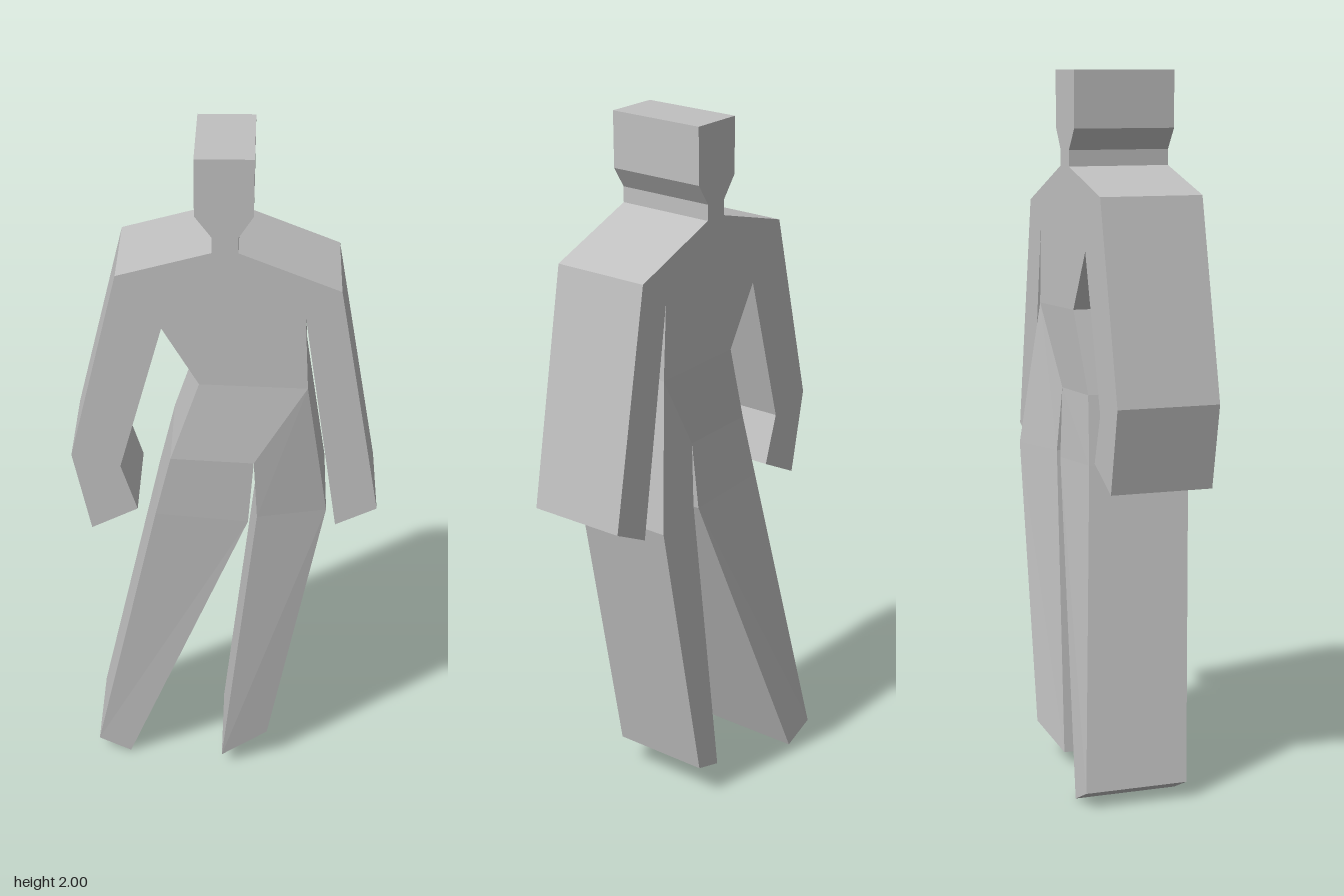
import * as THREE from 'three';

const FRONT = 0.175, BACK = -0.12;

// Outline corners: x, y and a shift in z for the striding legs
const P = {
  topL: [0.077, 2], topR: [-0.08, 2],
  jawL: [0.075, 1.84], jawR: [-0.08, 1.84],
  chinL: [0.036, 1.78], chinR: [-0.035, 1.78],
  neckL: [0.036, 1.735], neckR: [-0.035, 1.735],
  shoulderL: [0.31, 1.625], shoulderR: [-0.29, 1.665],
  armpitL: [0.215, 1.55], armpitR: [-0.17, 1.51],
  handOutL: [0.425, 0.945], handInL: [0.31, 0.89],
  elbowOutR: [-0.425, 1.11], elbowInR: [-0.29, 1.075],
  handOutR: [-0.375, 0.87], handInR: [-0.245, 0.935],
  waistL: [0.225, 1.33], waistR: [-0.07, 1.34],
  hipR: [-0.15, 1.11, 0.015], crotch: [0.08, 1.1, 0.018],
  kneeOutL: [0.285, 0.91, -0.046], kneeInL: [0.09, 0.915, 0.004],
  kneeOutR: [-0.195, 0.92, 0.002], kneeInR: [0.065, 0.9, 0.006],
  footOutL: [0.125, 0.1, -0.048], footInL: [-0.01, 0.04, -0.01],
  footOutR: [-0.385, 0.045, -0.075], footInR: [-0.29, 0, -0.073],
};

// Each part is a list of panels, counter-clockwise from the front
const PARTS = {
  head: ['topL topR jawR chinR neckR neckL chinL jawL'],
  torso: ['neckR shoulderR armpitR waistR waistL armpitL shoulderL neckL'],
  rightArm: ['shoulderR elbowOutR handOutR handInR elbowInR armpitR'],
  leftArm: ['shoulderL armpitL handInL handOutL'],
  pelvis: ['waistR hipR crotch waistL'],
  rightLeg: ['crotch hipR kneeOutR kneeInR', 'kneeInR kneeOutR footOutR footInR'],
  leftLeg: ['waistL crotch kneeInL kneeOutL', 'kneeOutL kneeInL footInL footOutL'],
};

const edgesOf = (keys) => keys.map((k, i) => [k, keys[(i + 1) % keys.length]]);
const at = (key, z) => [P[key][0], P[key][1], z + (P[key][2] || 0)];

// Front and back caps for every panel, side walls only along the open outline
function slab(panels, shared) {
  const pos = [];
  const tri = (...corners) => corners.forEach((c) => pos.push(...c));
  for (const panel of panels) {
    const keys = panel.split(' ');
    const contour = keys.map((k) => new THREE.Vector2(P[k][0], P[k][1]));
    for (const face of THREE.ShapeUtils.triangulateShape(contour, [])) {
      const [a, b, c] = face.map((i) => keys[i]);
      tri(at(a, FRONT), at(b, FRONT), at(c, FRONT));
      tri(at(a, BACK), at(c, BACK), at(b, BACK));
    }
    for (const [a, b] of edgesOf(keys)) {
      if (shared.has(b + ' ' + a)) continue;
      tri(at(a, FRONT), at(a, BACK), at(b, BACK));
      tri(at(a, FRONT), at(b, BACK), at(b, FRONT));
    }
  }
  const geo = new THREE.BufferGeometry();
  geo.setAttribute('position', new THREE.Float32BufferAttribute(pos, 3));
  geo.computeVertexNormals();
  return geo;
}

export function createModel() {
  const group = new THREE.Group();
  group.name = 'figure';
  const grey = new THREE.MeshStandardMaterial({ color: 0xc0c0c0 });
  grey.name = 'light grey';

  const edges = new Set();
  for (const panels of Object.values(PARTS))
    for (const panel of panels)
      for (const [a, b] of edgesOf(panel.split(' '))) edges.add(a + ' ' + b);

  for (const [name, panels] of Object.entries(PARTS)) {
    const mesh = new THREE.Mesh(slab(panels, edges), grey);
    mesh.name = name;
    group.add(mesh);
  }
  return group;
}
